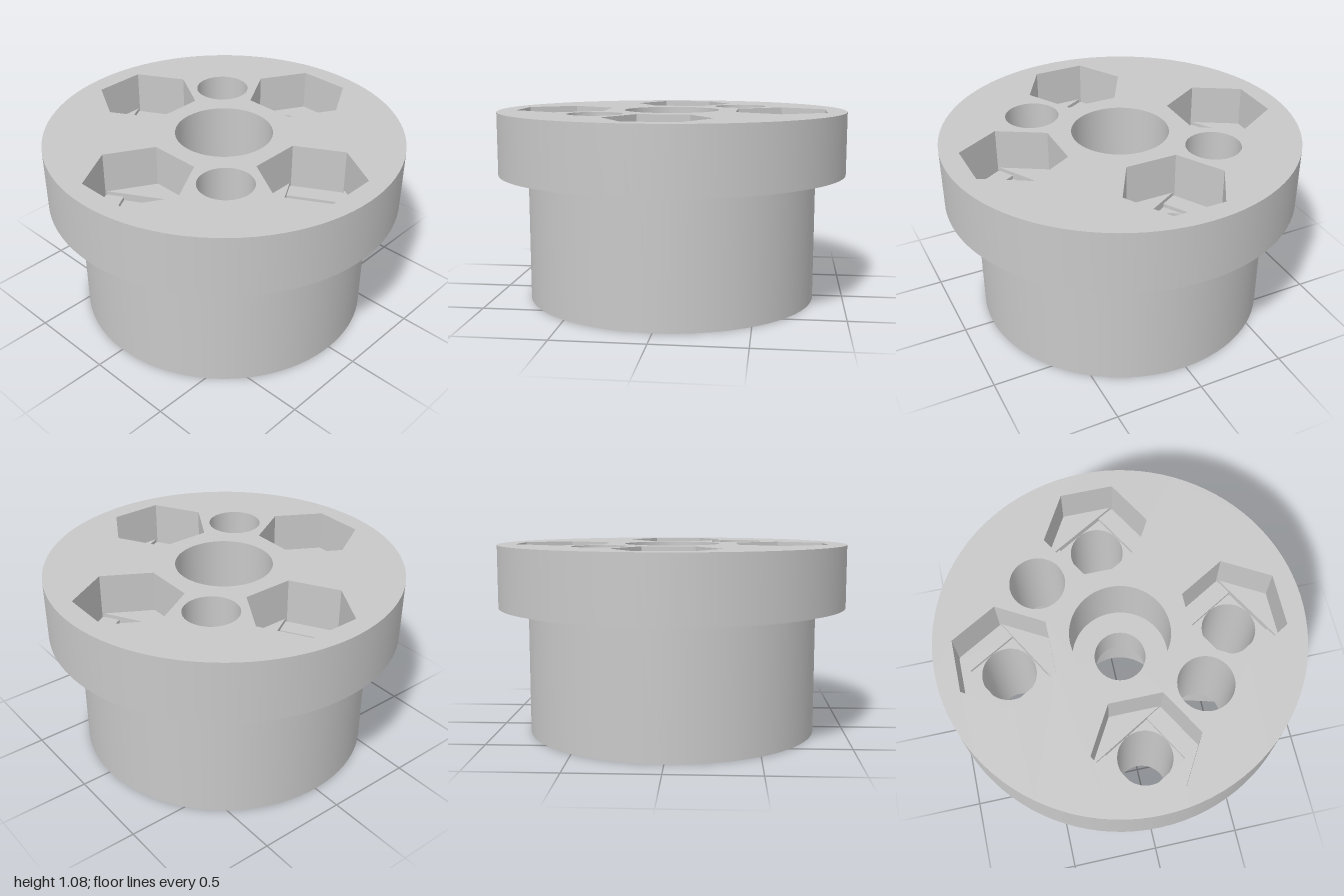
import * as THREE from 'three';

const H = 1.08;          // total height
const HEX = 0.293;       // nut pocket corner radius
const HOLE = 0.152;      // screw hole radius
const S = 0.1525;        // half width of the stepped floor slots
const DEG = Math.PI / 180;

export function createModel() {
  const grey = new THREE.MeshStandardMaterial({ color: 0xc8c8c8 });
  grey.name = 'light grey';
  const model = new THREE.Group();
  model.name = 'flangedHub';

  const add = (parent, name, geometry) => {
    const mesh = new THREE.Mesh(geometry, grey);
    mesh.name = name;
    parent.add(mesh);
    return mesh;
  };

  // Regular polygon loop, counter-clockwise
  const loop = (n, r, cx = 0, cy = 0, start = 0) =>
    Array.from({ length: n }, (_, i) => {
      const a = start + (i / n) * Math.PI * 2;
      return new THREE.Vector2(cx + r * Math.cos(a), cy + r * Math.sin(a));
    });

  // Flat horizontal face with holes
  const flat = (points, holes, y, up = true) => {
    const shape = new THREE.Shape(points);
    holes.forEach(h => shape.holes.push(new THREE.Path(h)));
    return new THREE.ShapeGeometry(shape).rotateX(up ? -Math.PI / 2 : Math.PI / 2).translate(0, y, 0);
  };

  // Revolved profile with a sharp edge at every profile point
  const revolve = (parent, name, profile, segments) => {
    for (let i = 0; i < profile.length - 1; i++) {
      const pair = [profile[i], profile[i + 1]].map(p => new THREE.Vector2(...p));
      add(parent, name, new THREE.LatheGeometry(pair, segments));
    }
  };

  // Inward-facing wall around a loop
  const wall = (points, y0, y1) => {
    const pos = [];
    points.forEach((a, i) => {
      const b = points[(i + 1) % points.length];
      const a0 = [a.x, y0, -a.y], a1 = [a.x, y1, -a.y];
      const b0 = [b.x, y0, -b.y], b1 = [b.x, y1, -b.y];
      pos.push(...b0, ...a0, ...a1, ...b0, ...a1, ...b1);
    });
    const g = new THREE.BufferGeometry();
    g.setAttribute('position', new THREE.Float32BufferAttribute(pos, 3));
    g.computeVertexNormals();
    return g;
  };

  // Hexagonal nut pocket that steps down to a slot, a square and a round hole
  const nutPocket = (name, depth) => {
    const g = new THREE.Group();
    g.name = name;
    const step = 0.022;
    const y1 = -depth, y2 = y1 - step, y3 = y2 - step;
    const v = (x, y) => new THREE.Vector2(x, y);
    const flatX = HEX * Math.cos(30 * DEG), cornerY = HEX / 2;
    const slotX = flatX - (S - cornerY) * Math.sqrt(3);
    const slotEnd = [v(S, -S), v(slotX, -S), v(flatX, -cornerY), v(flatX, cornerY), v(slotX, S), v(S, S)];
    const shoulder = [v(slotX, S), v(0, HEX), v(-slotX, S)];
    const turn = pts => pts.map(p => v(-p.x, -p.y));
    const outer = slotEnd.slice(1, 5);
    const square = [v(S, -S), v(S, S), v(-S, S), v(-S, -S)];

    add(g, 'pocketWall', wall(loop(6, HEX, 0, 0, 30 * DEG), y1, 0));
    add(g, 'slotWall', wall([...outer, ...turn(outer)], y2, y1));
    add(g, 'squareWall', wall(square, y3, y2));
    for (const f of [p => p, turn]) {
      add(g, 'pocketFloor', flat(f(shoulder), [], y1));
      add(g, 'slotFloor', flat(f(slotEnd), [], y2));
    }
    add(g, 'squareFloor', flat(square, [loop(48, HOLE)], y3));
    revolve(g, 'screwHole', [[HOLE, y3], [HOLE, -H]], 48);
    return g;
  };

  // Outer hub, lip and flange
  revolve(model, 'hubBody', [[0.83, 0], [0.83, 0.705]], 96);
  revolve(model, 'lip', [[0.83, 0.705], [0.92, 0.705], [0.92, 0.725]], 96);
  revolve(model, 'flange', [[0.92, 0.725], [1, 0.725], [1, H]], 96);

  // Stepped centre bore with a chamfer at the bottom
  revolve(model, 'centreBore', [
    [0.272, H], [0.272, 0.72], [0.145, 0.72], [0.145, 0.5],
    [0.255, 0.5], [0.255, 0.025], [0.285, 0],
  ], 96);

  // Four nut pockets open upward, two open downward
  const topHoles = [loop(96, 0.272)], bottomHoles = [loop(96, 0.285)];
  const place = (angle, radius, upward) => {
    const pocket = nutPocket(upward ? 'topNutPocket' : 'bottomNutPocket', upward ? 0.235 : 0.4);
    const a = angle * DEG;
    const x = radius * Math.cos(a), y = radius * Math.sin(a);
    pocket.rotation.order = 'YXZ';
    pocket.rotation.set(upward ? 0 : Math.PI, a - 60 * DEG, 0);
    pocket.position.set(x, upward ? H : 0, -y);
    model.add(pocket);
    const hex = s => loop(6, HEX, x, s * y, s * (a + 90 * DEG));
    const round = s => loop(48, HOLE, x, s * y);
    topHoles.push(upward ? hex(1) : round(1));
    bottomHoles.push(upward ? round(-1) : hex(-1));
  };
  for (const angle of [0, 90, 180, 270]) place(angle, 0.63, true);
  for (const angle of [45, 225]) place(angle, 0.534, false);

  // End faces
  add(model, 'topFace', flat(loop(96, 1), topHoles, H));
  add(model, 'bottomFace', flat(loop(96, 0.83), bottomHoles, 0, false));

  return model;
}
